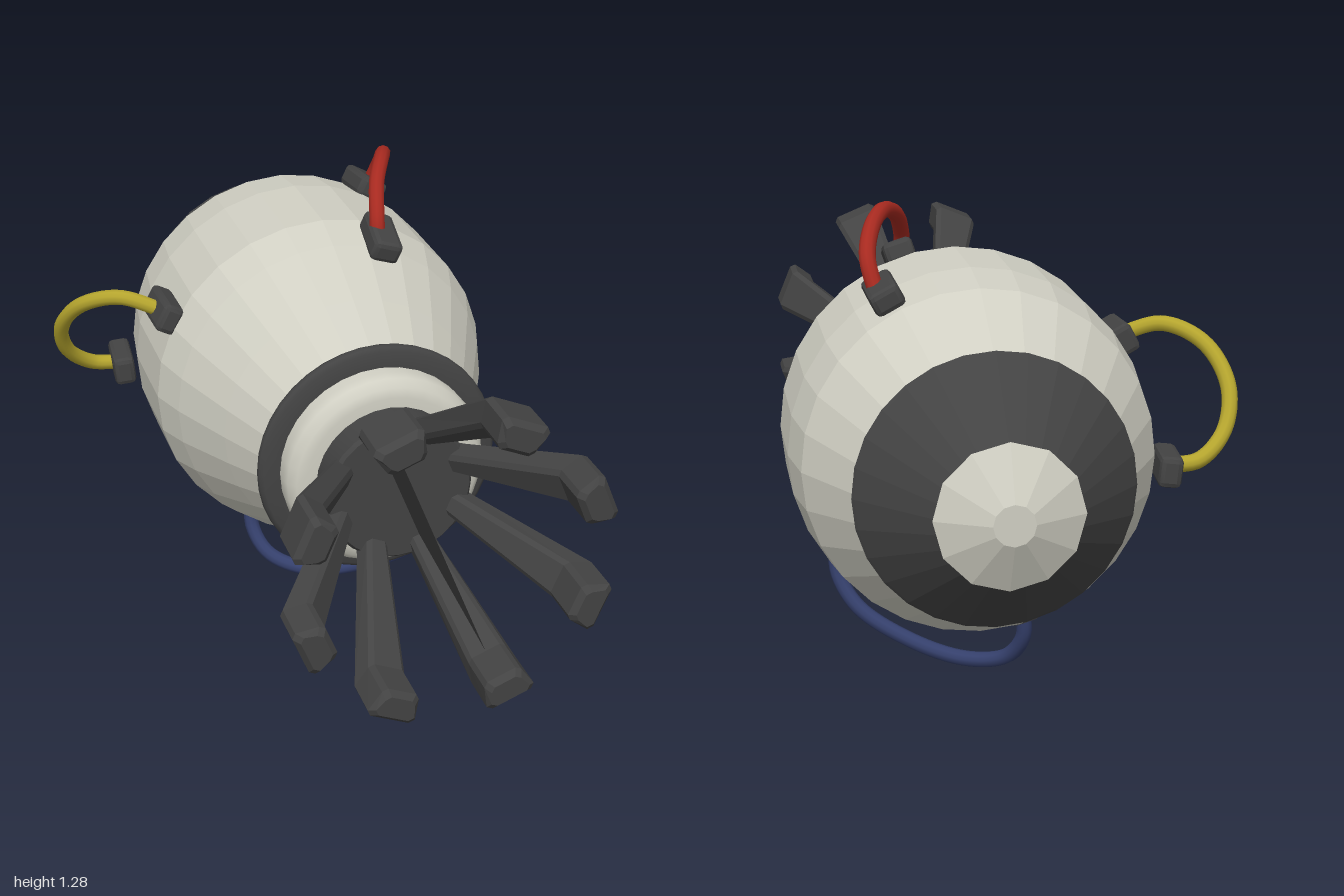
import * as THREE from 'three';
import { toCreasedNormals } from 'three/addons/utils/BufferGeometryUtils.js';
import { RoundedBoxGeometry } from 'three/addons/geometries/RoundedBoxGeometry.js';

const CX = 0.115, CY = 0.685; // long axis of the hull

const material = (name, color, side = THREE.FrontSide) => {
  const m = new THREE.MeshStandardMaterial({ color, side });
  m.name = name;
  return m;
};

const flat = (g) => {
  const f = g.index ? g.toNonIndexed() : g;
  f.computeVertexNormals();
  return f;
};

// Lathe around the z axis from [z, radius] pairs, rising in z
const turned = (profile, sides) =>
  new THREE.LatheGeometry(profile.map(([z, r]) => new THREE.Vector2(r, z)), sides).rotateX(Math.PI / 2);

// One splayed fin: chamfered cross-sections [z, inner r, outer r, inner half width, outer half width]
function finGeometry() {
  const sections = [
    [0.53, 0.12, 0.18, 0.03, 0.035],
    [0.58, 0.14, 0.21, 0.03, 0.037],
    [0.88, 0.325, 0.405, 0.05, 0.063],
    [0.985, 0.325, 0.405, 0.05, 0.064],
    [1.0, 0.338, 0.392, 0.04, 0.052],
  ];
  const c = 0.012, pos = [], idx = [];
  for (const [z, a, b, wa, wb] of sections) {
    const ring = [[wa - c, a], [wa, a + c], [wb, b - c], [wb - c, b], [c - wb, b], [-wb, b - c], [-wa, a + c], [c - wa, a]];
    for (const [x, y] of ring) pos.push(x, y, z);
  }
  for (let i = 0; i < sections.length - 1; i++) {
    for (let j = 0; j < 8; j++) {
      const k = (j + 1) % 8, p = i * 8;
      idx.push(p + j, p + k, p + 8 + k, p + j, p + 8 + k, p + 8 + j);
    }
  }
  const e = (sections.length - 1) * 8;
  for (let j = 1; j < 7; j++) idx.push(e, e + j, e + j + 1);
  const g = new THREE.BufferGeometry();
  g.setAttribute('position', new THREE.Float32BufferAttribute(pos, 3));
  g.setIndex(idx);
  return flat(g);
}

export function createModel() {
  const model = new THREE.Group();
  model.name = 'rocket';
  const ivory = material('ivory', 0xd0cfc3);
  const dark = material('charcoal', 0x434343);
  const web = material('charcoal web', 0x434343, THREE.DoubleSide);
  const red = material('red', 0xa82a20);
  const yellow = material('yellow', 0xb5a52e);
  const blue = material('navy', 0x35406c);

  const hull = new THREE.Group();
  hull.name = 'hull';
  hull.position.set(CX, CY, 0);
  model.add(hull);
  const add = (parent, name, geo, mat) => {
    const mesh = new THREE.Mesh(geo, mat);
    mesh.name = name;
    parent.add(mesh);
    return mesh;
  };

  // Faceted barrel
  add(hull, 'body', flat(turned([[-0.74, 0.315], [-0.52, 0.44], [-0.37, 0.462], [-0.1, 0.462],
    [0.0, 0.428], [0.18, 0.347], [0.35, 0.265], [0.37, 0.255]], 28)), ivory);

  // Smooth neck behind the band
  add(hull, 'neck', toCreasedNormals(turned([[0.36, 0.257], [0.44, 0.263], [0.465, 0.258],
    [0.485, 0.24], [0.49, 0.215], [0.49, 0.16]], 32), 0.7), ivory);
  add(hull, 'band', toCreasedNormals(turned([[0.373, 0.25], [0.373, 0.303], [0.38, 0.313],
    [0.39, 0.316], [0.4, 0.313], [0.407, 0.303], [0.407, 0.25]], 40), 0.8), dark);
  add(hull, 'collar', toCreasedNormals(turned([[0.48, 0.19], [0.57, 0.19], [0.58, 0.182], [0.58, 0]], 28), 0.6), dark);

  // Nose: dark skirt and pale tip
  add(hull, 'noseSkirt', flat(turned([[-0.94, 0], [-0.94, 0.155], [-0.752, 0.335], [-0.745, 0.341],
    [-0.735, 0.338], [-0.735, 0.29]], 28)), dark);
  add(hull, 'noseTip', flat(turned([[-1, 0], [-1, 0.05], [-0.938, 0.178], [-0.936, 0.14]], 12)), ivory);

  // Eight fins around the tail
  const fin = finGeometry();
  for (let i = 0; i < 8; i++) {
    add(hull, 'fin', fin, dark).rotation.z = Math.PI / 8 + (i * Math.PI) / 4;
  }

  // Flat web joining two opposite fins
  const sheet = new THREE.Shape([[-0.17, 0.57], [0.17, 0.57], [0.33, 0.88], [-0.33, 0.88]]
    .map(([x, y]) => new THREE.Vector2(x, y)));
  const sheetGeo = new THREE.ShapeGeometry(sheet).rotateX(Math.PI / 2).rotateZ(THREE.MathUtils.degToRad(112.5));
  add(hull, 'finWeb', sheetGeo, web);

  // Cables, each with a socket at both ends: [x, y, z, tilt]
  const cables = [
    { name: 'red', mat: red,
      sockets: [[0.25, 1.118, -0.01, 0.27], [0.34, 1.105, -0.44, -0.09]],
      path: [[0.24, 1.11, -0.005], [0.243, 1.17, -0.025], [0.265, 1.235, -0.1], [0.31, 1.265, -0.2],
        [0.352, 1.24, -0.31], [0.372, 1.18, -0.4], [0.355, 1.1, -0.44]] },
    { name: 'yellow', mat: yellow,
      sockets: [[-0.375, 0.635, -0.45, -0.09], [-0.31, 0.91, -0.165, 0.05]],
      path: [[-0.38, 0.635, -0.45], [-0.46, 0.645, -0.45], [-0.535, 0.71, -0.41], [-0.559, 0.81, -0.35],
        [-0.515, 0.905, -0.27], [-0.42, 0.945, -0.2], [-0.31, 0.91, -0.16]] },
    { name: 'blue', mat: blue,
      sockets: [[-0.025, 0.222, -0.29, 0], [0.4, 0.33, -0.005, 0.27]],
      path: [[-0.03, 0.22, -0.305], [-0.037, 0.13, -0.29], [0.0, 0.055, -0.24], [0.1, 0.026, -0.17],
        [0.24, 0.06, -0.1], [0.38, 0.145, -0.03], [0.43, 0.25, 0.008], [0.41, 0.33, 0.0]] },
  ];
  const socketGeo = toCreasedNormals(new RoundedBoxGeometry(0.08, 0.06, 0.155, 1, 0.014), 0.3);
  for (const { name, mat, sockets, path } of cables) {
    const cable = new THREE.Group();
    cable.name = name + 'CableSet';
    const curve = new THREE.CatmullRomCurve3(path.map((p) => new THREE.Vector3(...p)));
    add(cable, name + 'Cable', new THREE.TubeGeometry(curve, 48, 0.021, 10), mat);
    for (const [x, y, z, tilt] of sockets) {
      const socket = add(cable, 'socket', socketGeo, dark);
      socket.position.set(x, y, z);
      // turn to the radial direction, then lean along the hull slope
      socket.rotation.order = 'ZXY';
      socket.rotation.set(tilt, 0, Math.atan2(CX - x, y - CY));
    }
    model.add(cable);
  }
  return model;
}
